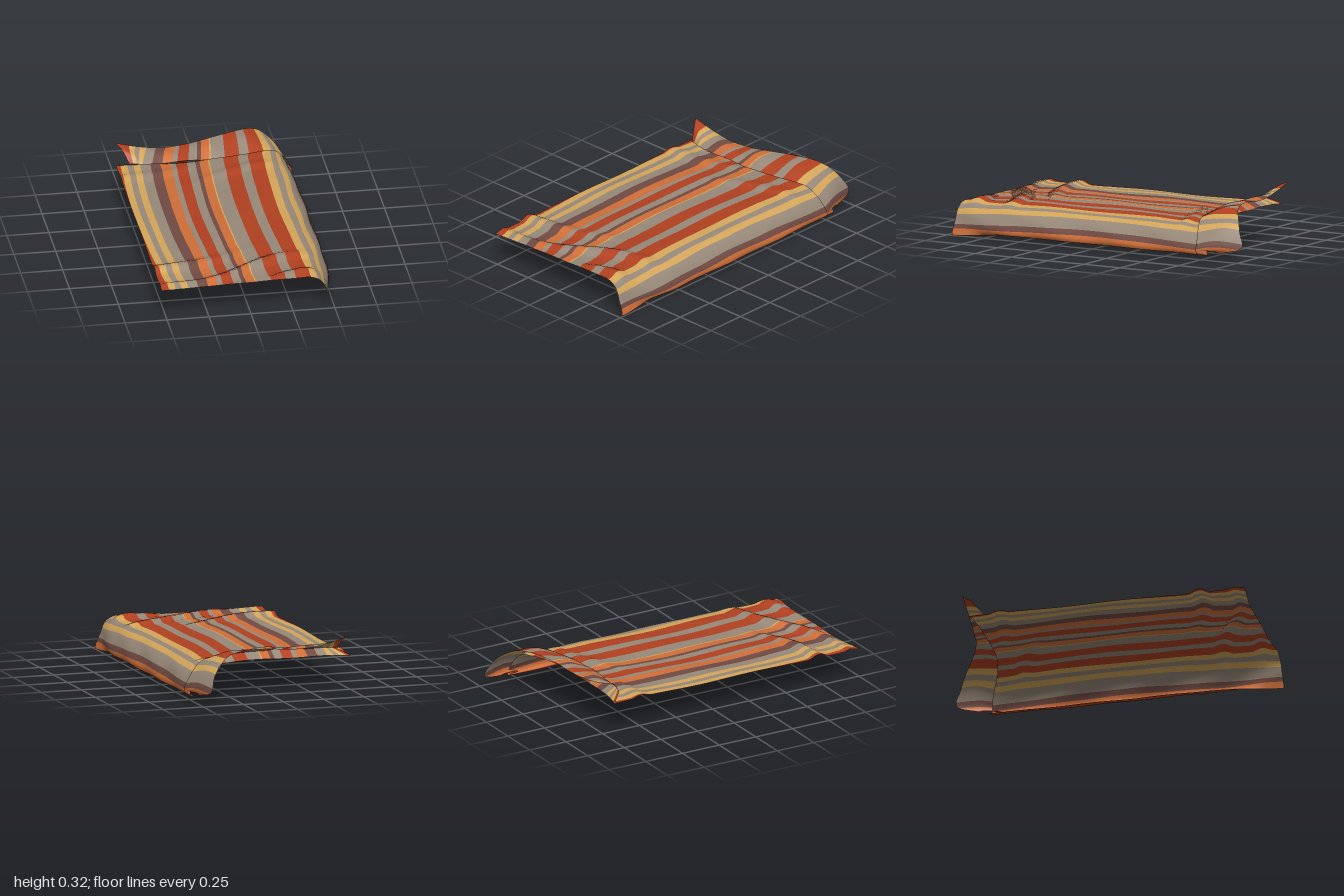
import * as THREE from 'three';

const mat = (name, color) => new THREE.MeshStandardMaterial({ name, color, side: THREE.DoubleSide });

// Stripes across the cloth: colour index and where each one ends
const RED = 0, ORANGE = 1, SAND = 2, GREY = 3, BROWN = 4;
const START = -0.64;
const STRIPES = [
  [RED, -0.53], [SAND, -0.49], [GREY, -0.455], [SAND, -0.415], [GREY, -0.355], [BROWN, -0.295],
  [ORANGE, -0.235], [GREY, -0.205], [RED, -0.14], [GREY, -0.09], [BROWN, -0.065], [ORANGE, -0.013],
  [SAND, -0.005], [GREY, 0.08], [RED, 0.17], [GREY, 0.23], [RED, 0.32], [SAND, 0.37], [GREY, 0.41],
  [SAND, 0.45], [GREY, 0.525], [BROWN, 0.56], [ORANGE, 0.615], [RED, 0.66],
];
const LEFT = -0.53, RIGHT = 0.66;

// Cross-sections over the bed edge: [distance across, x, y]
const MIDDLE = [[-0.53, -0.53, 0.19], [0, 0, 0.193], [0.3, 0.3, 0.195], [0.36, 0.36, 0.19], [0.42, 0.42, 0.18],
  [0.48, 0.473, 0.145], [0.535, 0.507, 0.1], [0.585, 0.528, 0.055], [0.615, 0.52, 0.032], [0.66, 0.485, 0.032]];
const FRONT = [[-0.53, -0.53, 0.185], [0, 0, 0.183], [0.3, 0.3, 0.192], [0.36, 0.36, 0.192], [0.42, 0.41, 0.175],
  [0.48, 0.445, 0.135], [0.535, 0.465, 0.09], [0.585, 0.478, 0.055], [0.66, 0.49, 0.0]];
// Front hem, crease of the fold: [distance across, z]
const HEM = [[-0.53, 0.99], [-0.3, 0.965], [0, 0.96], [0.2, 0.955], [0.4, 0.965], [0.66, 0.975]];
const CREASE = [[-0.53, -0.615], [-0.4, -0.595], [-0.1, -0.585], [0.1, -0.6], [0.3, -0.645], [0.5, -0.715], [0.66, -0.74]];
// Free edge of the turned-up flap: [distance across, x, y, z]
const FLAP = [[-0.53, -0.53, 0.32, -0.72], [-0.4, -0.4, 0.285, -0.725], [-0.25, -0.25, 0.26, -0.735],
  [-0.1, -0.1, 0.263, -0.755], [0, 0, 0.275, -0.77], [0.15, 0.15, 0.285, -0.815], [0.3, 0.285, 0.275, -0.875],
  [0.4, 0.36, 0.235, -0.925], [0.5, 0.42, 0.165, -0.97], [0.58, 0.45, 0.08, -1], [0.66, 0.48, 0.045, -0.87]];

const { lerp, smoothstep, clamp } = THREE.MathUtils;

// Smooth curve through a table, giving one value per column
function sample(table, a) {
  let i = 0;
  while (i < table.length - 2 && a > table[i + 1][0]) i++;
  const p = table[i], q = table[i + 1], h = q[0] - p[0], t = clamp((a - p[0]) / h, 0, 1);
  const slope = (k, c) => {
    const l = table[Math.max(k - 1, 0)], r = table[Math.min(k + 1, table.length - 1)];
    return (r[c] - l[c]) / (r[0] - l[0]);
  };
  return p.slice(1).map((v, k) => {
    const c = k + 1, t2 = t * t, t3 = t2 * t;
    return v * (2 * t3 - 3 * t2 + 1) + q[c] * (3 * t2 - 2 * t3)
      + h * (slope(i, c) * (t3 - 2 * t2 + t) + slope(i + 1, c) * (t3 - t2));
  });
}

// Cloth lying on the bed, with soft wrinkles near both ends
function lying(a, z) {
  const m = sample(MIDDLE, a), f = sample(FRONT, a);
  const k = smoothstep(z, 0.5, 0.98), back = 0.35 * smoothstep(-z, 0.4, 0.8);
  const flat = 1 - smoothstep(a, 0.3, 0.5);
  const near = smoothstep(z, 0.45, 0.75) * (1 - smoothstep(z, 0.88, 0.98));
  const far = smoothstep(-z, 0.3, 0.5) * (1 - smoothstep(-z, 0.55, 0.68));
  const fold = Math.max(0, Math.sin(z * 26 + a * 9 + Math.sin(a * 7)));
  const y = lerp(m[1], f[1], k) + flat * (near * 0.026 + far * 0.014) * fold
    + 0.003 * flat * Math.sin(z * 9 + a * 13);
  const x = lerp(m[0], f[0], Math.max(k, back)) + 0.004 * (1 - flat) * Math.sin(z * 14 + a * 30);
  return new THREE.Vector3(x, Math.max(0, y), z);
}

const creaseZ = (a) => sample(CREASE, a)[0];
const backZ = (a) => creaseZ(a) - 0.07;

// Front lip of the fold, lifted off the cloth below
function crease(a) {
  const p = lying(a, creaseZ(a));
  const hang = smoothstep(a, 0.36, 0.5);
  p.x += 0.07 * (1 - smoothstep(a, LEFT, -0.36)) + 0.012 * hang;
  p.y += 0.028 * (1 - hang) + 0.008;
  return p;
}

// Three joined panels: row position t runs from front to back along the cloth
const bodyPoint = (a, t) => lying(a, lerp(sample(HEM, a)[0], backZ(a), t));
const tuckPoint = (a, t) => lying(a, backZ(a)).lerp(crease(a), t);
const flapPoint = (a, t) => {
  const p = crease(a).lerp(new THREE.Vector3(...sample(FLAP, a)), t);
  const puff = Math.sin(Math.PI * t);
  p.y += puff * (0.014 + 0.006 * Math.sin(a * 24 + t * 3));
  return p;
};

// How far the stripes wander sideways
const bodyShift = (s, t) => 0.05 * Math.abs(lerp(0.97, -0.68, t)) ** 1.7;
const backShift = bodyShift(0, 1);
const flapShift = (s, t) => lerp(backShift, lerp(0.09, 0.03, clamp((s + 0.6) / 0.9, 0, 1)), t);

function panel(name, point, shift, rows, materials) {
  // Columns follow the stripe borders
  const columns = [START], colours = [];
  let from = START;
  for (const [colour, to] of STRIPES) {
    const n = Math.ceil((to - from) / 0.022);
    for (let i = 1; i <= n; i++) {
      columns.push(lerp(from, to, i / n));
      colours.push(colour);
    }
    from = to;
  }
  const positions = [], index = [], geometry = new THREE.BufferGeometry();
  const width = columns.length;
  for (let r = 0; r <= rows; r++) {
    const t = r / rows;
    for (const s of columns) {
      const a = s === RIGHT ? RIGHT : clamp(s + shift(s, t), LEFT, RIGHT);
      positions.push(...point(a, t).toArray());
    }
  }
  colours.forEach((colour, c) => {
    geometry.addGroup(index.length, rows * 6, colour);
    for (let r = 0; r < rows; r++) {
      const i = r * width + c, j = i + width;
      index.push(i, i + 1, j, i + 1, j + 1, j);
    }
  });
  geometry.setAttribute('position', new THREE.Float32BufferAttribute(positions, 3));
  geometry.setIndex(index);
  geometry.computeVertexNormals();
  const mesh = new THREE.Mesh(geometry, materials);
  mesh.name = name;
  return mesh;
}

export function createModel() {
  const materials = [
    mat('rust red', 0xb04020), mat('orange', 0xcf6e38), mat('sand', 0xd3a55a),
    mat('warm grey', 0x978878), mat('brown', 0x704a42),
  ];
  const blanket = new THREE.Group();
  blanket.name = 'blanket';
  blanket.add(
    panel('blanketBody', bodyPoint, bodyShift, 70, materials),
    panel('tuckedFold', tuckPoint, () => backShift, 4, materials),
    panel('turnedUpFlap', flapPoint, flapShift, 12, materials),
  );
  return blanket;
}
